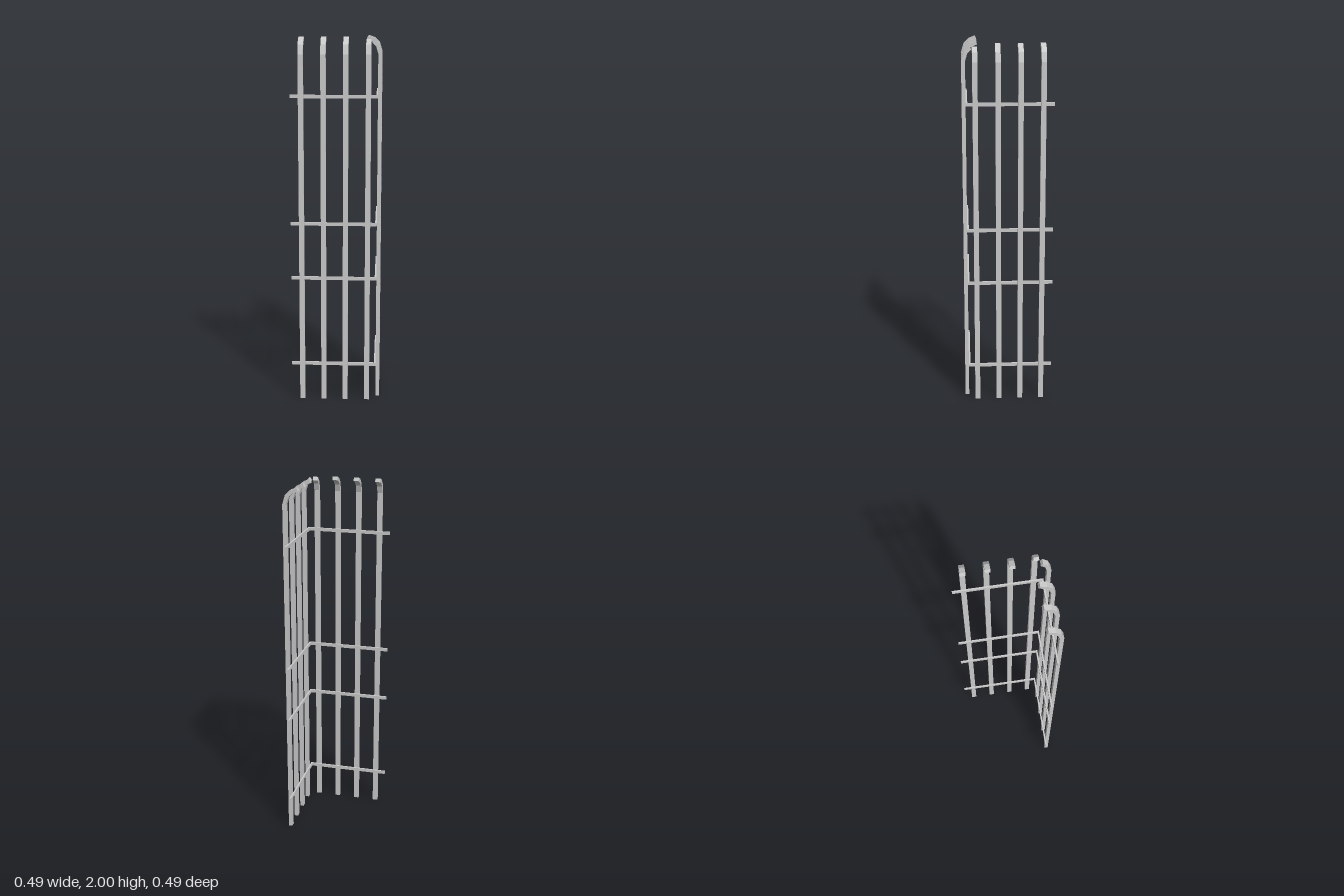
import * as THREE from 'three';

const material = new THREE.MeshStandardMaterial({ color: 0xcccccc, flatShading: true });

// Extrudes a closed outline by a depth, centred on z = 0
function slab(points, depth) {
  const shape = new THREE.Shape(points.map(([x, y]) => new THREE.Vector2(x, y)));
  const geometry = new THREE.ExtrudeGeometry(shape, { depth, bevelEnabled: false });
  geometry.translate(0, 0, -depth / 2);
  return geometry;
}

// Side profile of a bar whose top bends inward; fewer bends give a shorter hook
function barGeometry(bends) {
  const outer = [[0.243, 1.91], [0.228, 1.96], [0.2, 1.987], [0.165, 2.0]].slice(0, bends + 1);
  const inner = [[0.222, 1.91], [0.2105, 1.948], [0.189, 1.969], [0.157, 1.981]].slice(0, bends + 1);
  return slab([[0.222, 0], [0.243, 0], ...outer, ...inner.reverse()], 0.028);
}

export function createModel() {
  const model = new THREE.Group();
  model.name = 'cornerCage';

  const add = (parent, name, geometry) => {
    const mesh = new THREE.Mesh(geometry, material);
    mesh.name = name;
    parent.add(mesh);
    return mesh;
  };

  // Two rows of upright bars; the one beside the corner has a shorter hook
  const longBar = barGeometry(3);
  const cornerBar = barGeometry(2);
  const offsets = [-0.185, -0.066, 0.053, 0.173];
  const sideRow = new THREE.Group();
  sideRow.name = 'sideBars';
  const frontRow = new THREE.Group();
  frontRow.name = 'frontBars';
  model.add(sideRow, frontRow);
  offsets.forEach((offset, i) => {
    const geometry = i === 3 ? cornerBar : longBar;
    add(sideRow, 'sideBar', geometry).position.z = offset;
    const bar = add(frontRow, 'frontBar', geometry);
    bar.rotation.y = -Math.PI / 2;
    bar.position.x = offset;
  });

  // L-shaped horizontal rails along the inner faces of both rows
  const rail = slab([
    [-0.245, 0.213], [0.213, 0.213], [0.213, -0.245],
    [0.222, -0.245], [0.222, 0.222], [-0.245, 0.222],
  ], 0.018);
  rail.rotateX(Math.PI / 2);
  for (const y of [0.2, 0.695, 1.0, 1.689]) add(model, 'rail', rail).position.y = y;

  return model;
}
